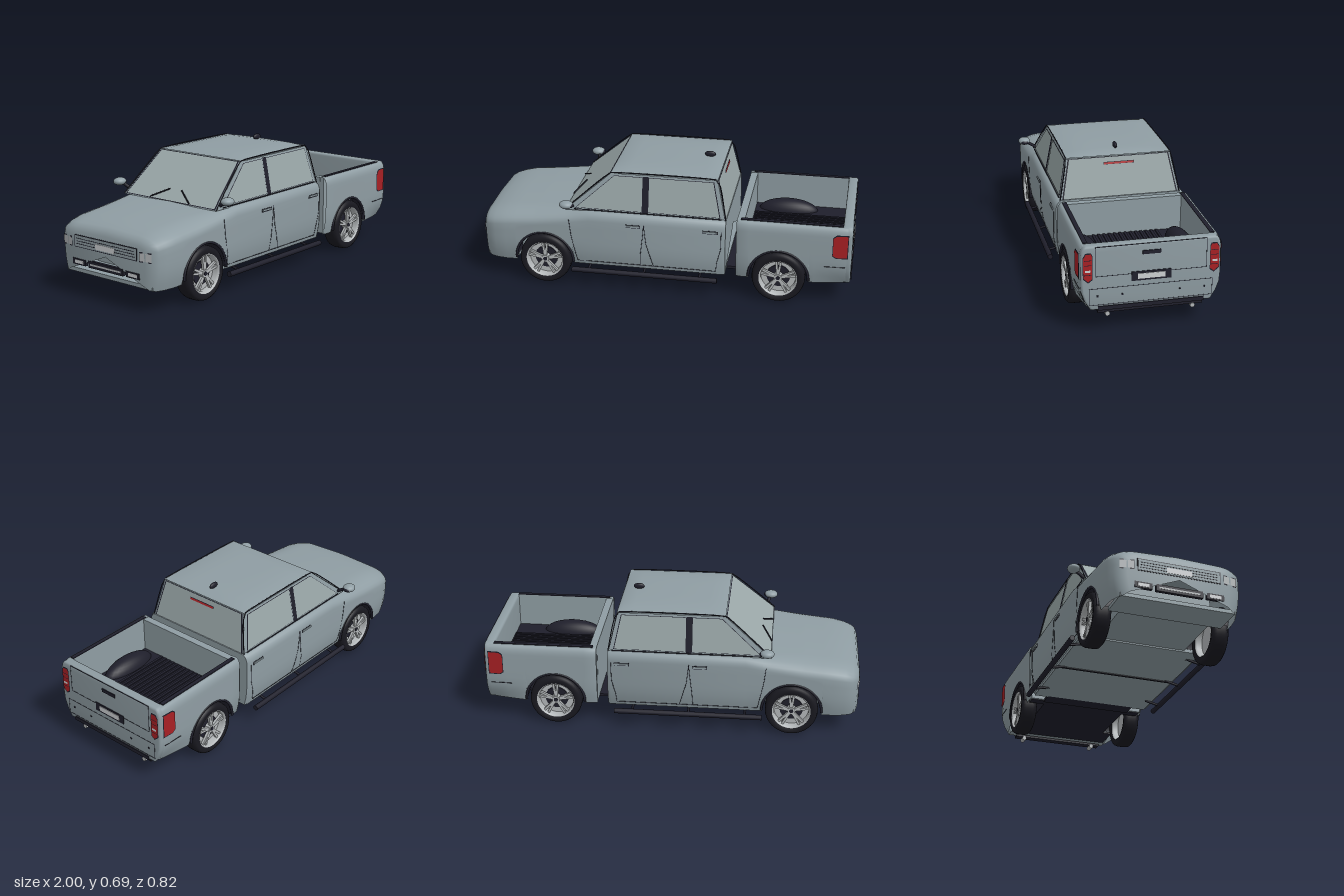
import * as THREE from 'three';
import { toCreasedNormals } from 'three/addons/utils/BufferGeometryUtils.js';

const mat = (name, color) => {
  const m = new THREE.MeshStandardMaterial({ color, side: THREE.DoubleSide });
  m.name = name;
  return m;
};
const V = (x, y, z) => new THREE.Vector3(x, y, z);

export function createModel() {
  const truck = new THREE.Group();
  truck.name = 'pickupTruck';
  const paint = mat('bodyPaint', 0x8f9da3), glass = mat('glass', 0x9ba8a9);
  const dark = mat('darkTrim', 0x1f1f2b), rubber = mat('tyreRubber', 0x191920);
  const red = mat('lampRed', 0xa82024), alloy = mat('alloy', 0xb4b8ba), white = mat('plateWhite', 0xcfd2d4);

  const add = (name, geo, m, x = 0, y = 0, z = 0, parent = truck) => {
    const mesh = new THREE.Mesh(geo, m);
    mesh.name = name;
    mesh.position.set(x, y, z);
    parent.add(mesh);
    return mesh;
  };
  // box given by its min and max on each axis
  const box = (name, m, x0, x1, y0, y1, z0, z1) =>
    add(name, new THREE.BoxGeometry(x1 - x0, y1 - y0, z1 - z0), m, (x0 + x1) / 2, (y0 + y1) / 2, (z0 + z1) / 2);
  const tube = (name, m, pts, r = 0.002) => add(name, new THREE.TubeGeometry(
    new THREE.CatmullRomCurve3(pts, false, 'catmullrom', 0.1), pts.length * 6, r, 6), m);
  const loft = (rows, crease = 0.7) => {
    const n = rows[0].length, index = [];
    for (let i = 0; i < rows.length - 1; i++) for (let j = 0; j < n - 1; j++) {
      const a = i * n + j, b = a + n;
      index.push(a, a + 1, b, a + 1, b + 1, b);
    }
    const g = new THREE.BufferGeometry().setFromPoints(rows.flat());
    g.setIndex(index);
    return toCreasedNormals(g, crease);
  };
  // flat convex plate, pushed outward and scaled about its middle
  const plate = (name, m, pts, out, scale = 1) => {
    const c = pts.reduce((s, p) => s.add(p), V(0, 0, 0)).divideScalar(pts.length);
    const g = new THREE.BufferGeometry().setFromPoints(pts.map(p => p.clone().sub(c).multiplyScalar(scale).add(c).add(out)));
    const index = [];
    for (let i = 1; i < pts.length - 1; i++) index.push(0, i, i + 1);
    g.setIndex(index);
    g.computeVertexNormals();
    return add(name, g, m);
  };
  const table = (rows, x) => {
    let i = 0;
    while (i < rows.length - 2 && x > rows[i + 1][0]) i++;
    const [a, b] = [rows[i], rows[i + 1]], k = THREE.MathUtils.clamp((x - a[0]) / (b[0] - a[0]), 0, 1);
    return a.map((v, j) => v + (b[j] - v) * k);
  };

  const axleY = 0.14, archR = 0.158, frontX = -0.645, rearX = 0.615;
  const archXs = cx => [cx - archR - 0.001, ...Array.from({ length: 17 }, (_, i) => cx - archR * Math.cos(i * Math.PI / 16)), cx + archR + 0.001];
  const lowerEdge = (x, cx, sill) => {
    const d = Math.abs(x - cx);
    return d > archR + 0.0005 ? sill : Math.max(sill, axleY + Math.sqrt(Math.max(0, archR ** 2 - d * d)));
  };
  const sideZ = (y, w, tuck) => w - tuck * (Math.max(0, 0.25 - y) / 0.13) ** 2;
  // half cross-section from the lower edge up round the shoulder, as [z, y]
  const half = (w, t, b, r, rz, tuck) => {
    const pts = [];
    for (let i = 0; i <= 6; i++) {
      const y = b + (t - r - b) * i / 6;
      pts.push([sideZ(y, w, tuck), y]);
    }
    for (let i = 1; i <= 7; i++) {
      const a = i / 7 * Math.PI / 2;
      pts.push([w - rz + rz * Math.cos(a), t - r + r * Math.sin(a)]);
    }
    return pts;
  };

  // hood and lower cab: x, half width, top, sill, shoulder height, shoulder width
  const hull = [
    [-0.994, 0.265, 0.335, 0.14, 0.04, 0.06], [-0.982, 0.302, 0.362, 0.12, 0.05, 0.09], [-0.96, 0.325, 0.376, 0.115, 0.06, 0.12],
    [-0.92, 0.341, 0.39, 0.115, 0.065, 0.14], [-0.86, 0.349, 0.403, 0.115, 0.07, 0.14], [-0.7, 0.351, 0.418, 0.12, 0.07, 0.14],
    [-0.52, 0.351, 0.43, 0.125, 0.06, 0.09], [-0.4, 0.351, 0.437, 0.125, 0.05, 0.035], [0.315, 0.351, 0.44, 0.125, 0.05, 0.035],
    [0.333, 0.342, 0.436, 0.13, 0.05, 0.035]];
  const xs = [...hull.map(h => h[0]), ...archXs(frontX)].sort((a, b) => a - b);
  const rows = xs.map(x => {
    const [, w, t, sill, r, rz] = table(hull, x);
    const h = half(w, t, lowerEdge(x, frontX, sill), r, rz, 0.02);
    const crown = x < -0.4 ? 0.008 : 0;
    return [...h.map(([z, y]) => V(x, y, z)), V(x, t + crown, 0), ...h.reverse().map(([z, y]) => V(x, y, -z))];
  });
  rows.unshift(rows[0].map(() => V(-0.996, 0.24, 0)));
  rows.push(rows[rows.length - 1].map(() => V(0.333, 0.28, 0)));
  add('hoodAndLowerCab', loft(rows), paint);
  box('cabFloor', paint, -0.485, 0.33, 0.122, 0.14, -0.325, 0.325);
  box('engineUnderside', paint, -0.82, -0.47, 0.13, 0.3, -0.235, 0.235);
  box('frontBumperFloor', paint, -0.975, -0.805, 0.12, 0.14, -0.295, 0.295);
  box('chassisCrossMember', dark, -0.1, -0.085, 0.118, 0.123, -0.32, 0.32);

  // greenhouse
  const yb = 0.432, yt = 0.643;
  const cz = y => 0.318 - 0.041 * (y - yb) / (yt - yb);
  const ring = s => [V(-0.53, yb, s * cz(yb)), V(-0.285, yt, s * cz(yt)), V(0.28, yt, s * cz(yt)), V(0.328, yb, s * cz(yb))];
  const L = ring(1), R = ring(-1);
  const zero = V(0, 0, 0);
  plate('cabSideLeft', paint, L, zero);
  plate('cabSideRight', paint, R, zero);
  plate('windshieldFrame', paint, [L[0], L[1], R[1], R[0]], zero);
  plate('cabRearFrame', paint, [L[2], L[3], R[3], R[2]], zero);
  const window_ = (name, pts, out, s = 1) => {
    plate(name + 'Seal', dark, pts, out.clone().multiplyScalar(0.002), s);
    plate(name, glass, pts, out.clone().multiplyScalar(0.004), s * 0.975);
  };
  window_('windshield', [L[0], L[1], R[1], R[0]], V(-0.65, 0.75, 0), 0.975);
  window_('rearWindow', [L[2], L[3], R[3], R[2]], V(0.97, 0.22, 0), 0.97);
  const roofRows = [[-0.287, 0], [-0.26, 0.009], [-0.19, 0.015], [0.2, 0.015], [0.26, 0.009], [0.282, 0]].map(([x, c]) =>
    Array.from({ length: 13 }, (_, i) => V(x, yt + 0.003 + c * (1 - ((i - 6) / 6) ** 4), (i - 6) / 6 * 0.279)));
  add('roof', loft(roofRows), paint);
  add('roofAerial', new THREE.SphereGeometry(1, 20, 14), dark, 0.2, 0.674, 0).scale.set(0.03, 0.016, 0.011);
  plate('highBrakeLampFrame', dark, [V(0.287, 0.615, 0.082), V(0.29, 0.602, 0.082), V(0.29, 0.602, -0.082), V(0.287, 0.615, -0.082)], V(0.005, 0, 0));
  plate('highBrakeLamp', red, [V(0.288, 0.613, 0.079), V(0.291, 0.604, 0.079), V(0.291, 0.604, -0.079), V(0.288, 0.613, -0.079)], V(0.007, 0, 0));

  // bed shell
  const bedPlan = [[0.39, 0.343], [0.405, 0.351], [0.93, 0.351], [0.965, 0.347]];
  const bedXs = [...bedPlan.map(p => p[0]), 0.8, 0.87, ...archXs(rearX)].sort((a, b) => a - b);
  const tailSection = half(0.345, 0.455, 0.122, 0.055, 0.03, 0.05);
  for (const s of [1, -1]) {
    const bedRows = bedXs.map(x => {
      const w = table(bedPlan, x)[1], tuck = x > 0.8 ? 0.02 + (x - 0.8) * 0.18 : 0.02;
      const h = half(w, 0.452, lowerEdge(x, rearX, 0.125), 0.05, 0.025, tuck);
      return [...h, [0.302, 0.452], [0.3, 0.26]].map(([z, y]) => V(x, y, s * z));
    });
    add('bedSide', loft(bedRows), paint);
    box('bedRail', dark, 0.41, 0.94, 0.45, 0.456, s * 0.313 - 0.011, s * 0.313 + 0.011);
    add('bedWheelTub', new THREE.SphereGeometry(1, 28, 16), dark, rearX, 0.26, s * 0.245).scale.set(0.165, 0.07, 0.062);
  }
  box('bedFrontWall', paint, 0.391, 0.43, 0.13, 0.45, -0.325, 0.325);
  box('bedFloor', dark, 0.42, 0.945, 0.255, 0.268, -0.302, 0.302);
  for (let i = -6; i <= 6; i++) box('bedFloorRib', dark, 0.435, 0.94, 0.268, 0.274, i * 0.028 - 0.007, i * 0.028 + 0.007);
  box('bedUnderside', dark, 0.395, 0.95, 0.128, 0.26, -0.235, 0.235);
  box('bedSkidFront', dark, 0.4, 0.455, 0.128, 0.14, -0.32, 0.32);
  box('bedSkidRear', dark, 0.78, 0.95, 0.128, 0.14, -0.29, 0.29);
  box('chassisFrame', dark, 0.32, 0.41, 0.122, 0.136, -0.25, 0.25);

  // tailgate end
  const tail = new THREE.Shape([...tailSection.map(([z, y]) => new THREE.Vector2(z, y)),
    ...tailSection.slice().reverse().map(([z, y]) => new THREE.Vector2(-z, y))]);
  const tailGeo = new THREE.ExtrudeGeometry(tail, { depth: 0.03, bevelThickness: 0.011, bevelSize: 0.011, bevelOffset: -0.011, bevelSegments: 3 });
  tailGeo.rotateY(Math.PI / 2);
  add('tailgateAndBumper', toCreasedNormals(tailGeo, 0.6), paint, 0.949);
  const rearBox = (name, m, z0, z1, y0, y1, out = 0.003) => box(name, m, 0.985, 0.99 + out, y0, y1, z0, z1);
  const outline = (name, w, y0, y1) => {
    rearBox(name, dark, -w, w, y0 - 0.0012, y0 + 0.0012, 0.001);
    rearBox(name, dark, -w, w, y1 - 0.0012, y1 + 0.0012, 0.001);
    for (const s of [1, -1]) rearBox(name, dark, s * w - 0.0012, s * w + 0.0012, y0, y1, 0.001);
  };
  outline('tailgateSeam', 0.273, 0.298, 0.449);
  outline('bumperSeam', 0.304, 0.15, 0.235);
  rearBox('tailgateHandle', dark, -0.045, 0.045, 0.395, 0.414, 0.004);
  rearBox('plateRecess', dark, -0.098, 0.098, 0.26, 0.308, 0.003);
  rearBox('numberPlate', white, -0.068, 0.068, 0.27, 0.297, 0.006);
  rearBox('bumperValance', dark, -0.262, 0.262, 0.122, 0.143, 0.005);
  box('towBar', dark, 0.93, 0.975, 0.1, 0.112, -0.26, 0.26);
  for (const z of [-0.265, -0.143, 0.143, 0.265]) rearBox('parkingSensor', dark, z - 0.004, z + 0.004, 0.192, 0.2);

  // nose details
  const noseBox = (name, m, z0, z1, y0, y1, out = 0.002) => box(name, m, -0.996 - out, -0.98, y0, y1, z0, z1);
  noseBox('grilleSurround', dark, -0.215, 0.215, 0.258, 0.322, 0.001);
  noseBox('grille', paint, -0.211, 0.211, 0.262, 0.318, 0.002);
  for (const y of [0.276, 0.29, 0.304]) noseBox('grilleSlat', dark, -0.2, 0.2, y - 0.0015, y + 0.0015, 0.003);
  noseBox('frontPlate', white, -0.065, 0.065, 0.268, 0.296, 0.004);
  noseBox('lowerIntake', dark, -0.12, 0.12, 0.165, 0.2, 0.002);
  noseBox('lowerIntakeBar', alloy, -0.105, 0.105, 0.178, 0.187, 0.003);

  // parts mirrored left and right
  const flank = (pts, s) => pts.map(([x, y]) => V(x, y, s * (sideZ(y, 0.351, 0.02) + 0.0003)));
  for (const s of [1, -1]) {
    // side windows and pillars
    const pane = pts => pts.map(([x, y]) => V(x, y, s * cz(y)));
    window_('frontSideWindow', pane([[-0.475, 0.447], [-0.268, 0.632], [-0.112, 0.632], [-0.112, 0.447]]), V(0, 0.2 * s * s, s));
    window_('rearSideWindow', pane([[-0.085, 0.447], [-0.085, 0.632], [0.262, 0.632], [0.302, 0.447]]), V(0, 0.2, s));
    plate('doorPillar', dark, pane([[-0.113, 0.444], [-0.113, 0.637], [-0.084, 0.637], [-0.084, 0.444]]), V(0, 0, s * 0.0055));
    tube('roofGutter', dark, [V(-0.53, yb + 0.003, s * 0.319), V(-0.285, yt + 0.003, s * 0.279), V(0.28, yt + 0.003, s * 0.279), V(0.33, yb + 0.003, s * 0.319)], 0.003);
    tube('beltMoulding', dark, [V(-0.48, 0.441, s * 0.321), V(0.31, 0.441, s * 0.321)], 0.003);
    // door seams and handles
    tube('doorSeam', dark, flank([[-0.505, 0.39], [-0.495, 0.3], [-0.475, 0.2], [-0.465, 0.145]], s), 0.0015);
    tube('doorSeam', dark, flank([[-0.1, 0.39], [-0.105, 0.33], [-0.118, 0.22], [-0.122, 0.145]], s), 0.0015);
    tube('doorSeam', dark, flank([[-0.1, 0.39], [-0.088, 0.28], [-0.065, 0.2], [-0.05, 0.145]], s), 0.0015);
    tube('doorSeam', dark, flank([[0.312, 0.385], [0.31, 0.28], [0.29, 0.2], [0.285, 0.145]], s), 0.0015);
    tube('sillSeam', dark, flank([[-0.465, 0.145], [0.285, 0.145]], s), 0.0015);
    for (const x of [-0.157, 0.255]) {
      box('handleRecess', dark, x - 0.04, x + 0.04, 0.367, 0.385, s * 0.35 - 0.002, s * 0.35 + 0.002);
      box('doorHandle', paint, x - 0.037, x + 0.037, 0.372, 0.382, s * 0.353 - 0.004, s * 0.353 + 0.004);
    }
    // mirrors, steps, wipers, exhausts
    add('mirrorShell', new THREE.SphereGeometry(1, 24, 16), paint, -0.508, 0.487, s * 0.375).scale.set(0.037, 0.021, 0.033);
    add('mirrorFace', new THREE.SphereGeometry(1, 20, 12), dark, -0.484, 0.485, s * 0.375).scale.set(0.016, 0.013, 0.022);
    tube('mirrorArm', dark, [V(-0.49, 0.452, s * 0.31), V(-0.497, 0.472, s * 0.345), V(-0.5, 0.482, s * 0.37)], 0.009);
    add('sideStep', new THREE.CylinderGeometry(0.014, 0.014, 0.785, 12), dark, -0.097, 0.105, s * 0.37).rotation.z = Math.PI / 2;
    for (const x of [-0.4, -0.1, 0.2]) tube('stepBracket', dark, [V(x, 0.125, s * 0.28), V(x, 0.105, s * 0.37)], 0.007);
    tube('wiper', dark, [V(-0.528, 0.444, s * 0.135), V(-0.475, 0.489, s * 0.04)], 0.004);
    add('exhaustTip', new THREE.CylinderGeometry(0.012, 0.012, 0.05, 16), alloy, 0.953, 0.092, s * 0.212).rotation.z = Math.PI / 2;
    // tail lamps wrap from the rear face onto the flank
    const rear = (name, m, pts, out, k) => plate(name, m, pts.map(([z, y]) => V(0.99, y, s * z)), V(out, 0, 0), k);
    const hex = [[0.296, 0.42], [0.322, 0.42], [0.334, 0.4], [0.334, 0.295], [0.31, 0.273], [0.29, 0.288], [0.29, 0.405]];
    rear('tailLampFrame', dark, hex, 0.002, 1.06);
    rear('tailLamp', red, hex, 0.004, 0.97);
    rear('reverseLamp', white, [[0.3, 0.337], [0.325, 0.337], [0.325, 0.326], [0.3, 0.326]], 0.006);
    for (const y of [0.31, 0.36, 0.385]) rear('lampDivider', dark, [[0.294, y], [0.33, y], [0.33, y + 0.003], [0.294, y + 0.003]], 0.005);
    const wrap = [[0.892, 0.3, 0.351], [0.892, 0.4, 0.351], [0.91, 0.415, 0.351], [0.968, 0.415, 0.347], [0.968, 0.288, 0.347], [0.91, 0.288, 0.351]].map(([x, y, z]) => V(x, y, s * z));
    plate('sideTailLampFrame', dark, wrap, V(0, 0, s * 0.003), 1.06);
    plate('sideTailLamp', red, wrap, V(0, 0, s * 0.005), 0.97);
    tube('rearBumperSeam', dark, [V(0.85, 0.232, s * 0.351), V(0.96, 0.232, s * 0.347)], 0.002);
    // front lamps
    const lamp = (name, m, y0, y1, out) => plate(name, m, [V(-0.995, y0, s * 0.228), V(-0.995, y1, s * 0.228), V(-0.982, y1, s * 0.298), V(-0.982, y0, s * 0.298)], V(-out, 0, s * out));
    lamp('headlampSurround', dark, 0.258, 0.31, 0.003);
    lamp('headlamp', alloy, 0.264, 0.304, 0.0045);
    noseBox('fogLamp', dark, s * 0.185 - 0.045, s * 0.185 + 0.045, 0.167, 0.198);
    noseBox('fogLampLens', white, s * 0.185 - 0.03, s * 0.185 + 0.03, 0.174, 0.191, 0.003);

    // wheels with arch liners
    for (const cx of [frontX, rearX]) {
      const liner = new THREE.CylinderGeometry(archR, archR, 0.11, 28, 1, true, -Math.PI / 2, Math.PI).rotateX(-Math.PI / 2);
      add('archLiner', liner, dark, cx, axleY, s * 0.289);
      add('archTrim', new THREE.TorusGeometry(archR, 0.007, 8, 36, Math.PI), dark, cx, axleY, s * 0.347);
      const wheel = new THREE.Group();
      wheel.name = 'wheel';
      wheel.position.set(cx, axleY, s * 0.31);
      if (s < 0) wheel.rotation.y = Math.PI;
      truck.add(wheel);
      const turned = prof => new THREE.LatheGeometry(prof.map(p => new THREE.Vector2(...p)), 48).rotateX(Math.PI / 2);
      add('tyre', turned([[0.1, -0.04], [0.125, -0.045], [0.136, -0.036], [0.14, -0.02], [0.14, 0.02], [0.136, 0.036], [0.125, 0.045], [0.102, 0.042], [0.099, 0.034]]), rubber, 0, 0, 0, wheel);
      add('rim', turned([[0.101, -0.04], [0.092, -0.03], [0.092, 0.03], [0.098, 0.042], [0.103, 0.042]]), alloy, 0, 0, 0, wheel);
      add('wheelDish', new THREE.CylinderGeometry(0.093, 0.093, 0.008, 40).rotateX(Math.PI / 2), alloy, 0, 0, 0, wheel);
      add('brakeDisc', new THREE.CylinderGeometry(0.062, 0.062, 0.01, 32).rotateX(Math.PI / 2), dark, 0, 0, 0.004, wheel);
      add('hub', new THREE.CylinderGeometry(0.02, 0.026, 0.032, 24).rotateX(Math.PI / 2), alloy, 0, 0, 0.02, wheel);
      add('hubCap', new THREE.CylinderGeometry(0.011, 0.011, 0.003, 20).rotateX(Math.PI / 2), dark, 0, 0, 0.037, wheel);
      for (let i = 0; i < 10; i++) {
        const a = Math.floor(i / 2) * Math.PI * 0.4 + Math.PI / 2 + (i % 2 ? 0.13 : -0.13);
        add('spoke', new THREE.BoxGeometry(0.078, 0.012, 0.014), alloy, Math.cos(a) * 0.056, Math.sin(a) * 0.056, 0.026, wheel).rotation.z = a;
      }
    }
  }
  return truck;
}
